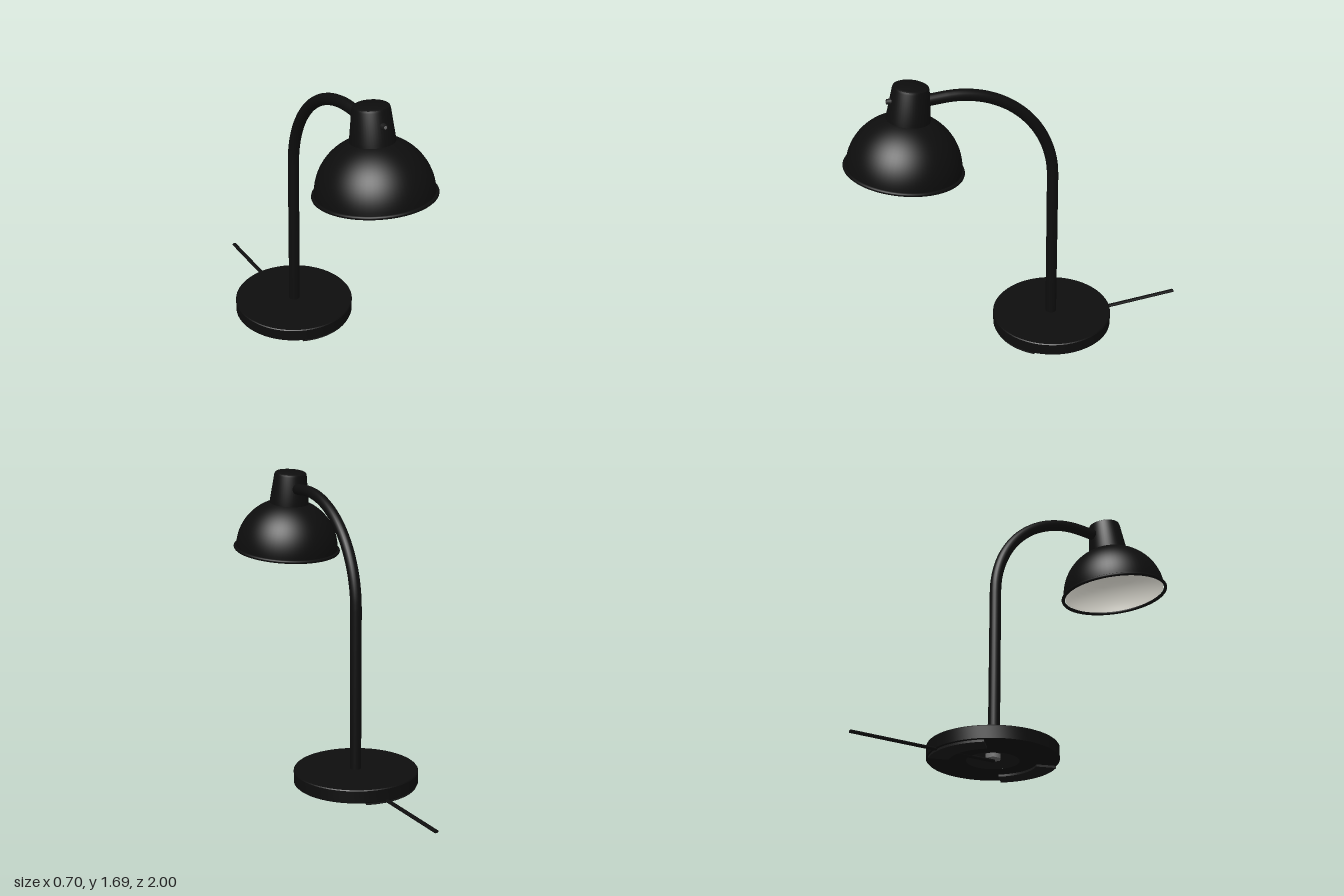
import * as THREE from 'three';
import { toCreasedNormals } from 'three/addons/utils/BufferGeometryUtils.js';

const mat = (name, color) => Object.assign(new THREE.MeshStandardMaterial({ color }), { name });

export function createModel() {
  const black = mat('black paint', 0x0d0d0d);
  const rubber = mat('dark rubber', 0x181818);
  const cream = mat('off-white enamel', 0xe6e4da);
  const steel = mat('steel', 0x6a6a6a);
  const model = new THREE.Group();
  model.name = 'deskLamp';

  const add = (parent, name, geometry, material, x = 0, y = 0, z = 0) => {
    const mesh = new THREE.Mesh(geometry, material);
    mesh.name = name;
    mesh.position.set(x, y, z);
    parent.add(mesh);
    return mesh;
  };
  const lathe = (points, segments = 64) =>
    toCreasedNormals(new THREE.LatheGeometry(points.map(p => new THREE.Vector2(...p)), segments), 0.6);
  // Quarter-ellipse profile, from rim up to the neck
  const dome = (r, h, y0, end) => Array.from({ length: 21 }, (_, i) => {
    const a = (i / 20) * end;
    return [r * Math.cos(a), y0 + h * Math.sin(a)];
  });

  // Round base with a hollow underneath
  const base = new THREE.Group();
  base.name = 'base';
  base.position.z = -0.175;
  model.add(base);
  add(base, 'baseDisc', lathe([[0.14, 0.012], [0.345, 0.012], [0.35, 0.017],
    [0.35, 0.082], [0.346, 0.087], [0, 0.087]], 96), black);
  add(base, 'baseHollow', lathe([[0, 0.045], [0.07, 0.045], [0.14, 0.012]]), rubber);
  add(base, 'baseNut', new THREE.CylinderGeometry(0.045, 0.045, 0.025, 6), steel, 0, 0.034, 0);

  // Two curved pads under the base
  const padShape = new THREE.Shape();
  const half = THREE.MathUtils.degToRad(35);
  padShape.absarc(0, 0, 0.342, -half, half, false);
  padShape.absarc(0, 0, 0.235, half, -half, true);
  const padGeo = new THREE.ExtrudeGeometry(padShape, { depth: 0.013, bevelEnabled: false, curveSegments: 24 });
  padGeo.rotateX(-Math.PI / 2);
  for (const degrees of [-75, 105]) {
    add(base, 'basePad', padGeo, rubber).rotation.y = THREE.MathUtils.degToRad(degrees);
  }

  // Flattened power cord running straight back
  const cordGeo = new THREE.CylinderGeometry(0.013, 0.013, 0.83, 16);
  cordGeo.rotateX(Math.PI / 2).scale(1, 0.65, 1);
  add(model, 'powerCord', cordGeo, black, 0, 0.0125, -0.585);

  // Upright post bending forward in a quarter circle
  const armPath = new THREE.CurvePath();
  const v = (y, z) => new THREE.Vector3(0, y, z);
  const bend = Array.from({ length: 17 }, (_, i) => {
    const a = (i / 16) * Math.PI / 2;
    return v(1.0 + 0.59 * Math.sin(a), 0.43 - 0.6 * Math.cos(a));
  });
  armPath.add(new THREE.LineCurve3(v(0.08, -0.17), bend[0]));
  armPath.add(new THREE.CatmullRomCurve3(bend));
  armPath.add(new THREE.LineCurve3(bend[16], v(1.585, 0.6)));
  add(model, 'arm', new THREE.TubeGeometry(armPath, 100, 0.032, 20), black);

  // Tilted head; its origin is the centre of the rim
  const head = new THREE.Group();
  head.name = 'lampHead';
  head.position.set(0, 1.222, 0.682);
  head.rotation.x = -0.133;
  model.add(head);
  add(head, 'shade', lathe(dome(0.306, 0.295, 0.005, 1.3)), black);
  add(head, 'shadeLining', lathe([...dome(0.298, 0.288, 0.003, Math.PI / 2)].reverse()), cream);
  const rim = add(head, 'shadeRim', new THREE.TorusGeometry(0.311, 0.01, 12, 80), black);
  rim.rotation.x = Math.PI / 2;
  add(head, 'neckCap', lathe([[0.117, 0.27], [0.115, 0.295], [0.096, 0.448],
    [0.092, 0.459], [0.083, 0.464], [0, 0.464]], 48), black);

  // Screw on the front of the cap
  const screw = add(head, 'capScrew', new THREE.CylinderGeometry(0.013, 0.018, 0.024, 16), steel, 0, 0.38, 0.112);
  screw.rotation.x = Math.PI / 2;
  screw.material = rubber;
  add(head, 'screwTip', new THREE.CylinderGeometry(0.008, 0.008, 0.004, 12), steel, 0, 0.38, 0.125)
    .rotation.x = Math.PI / 2;

  return model;
}
